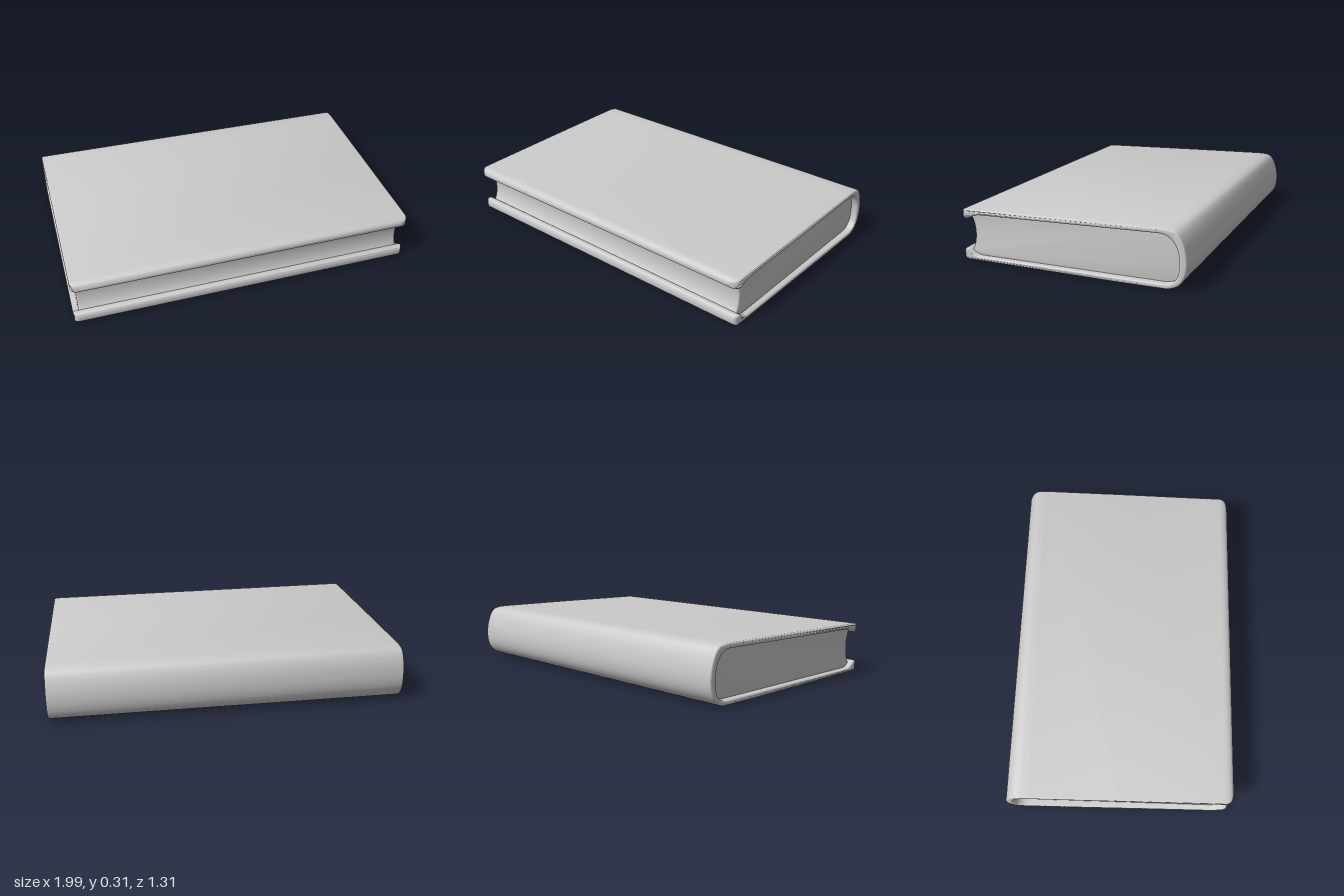
import * as THREE from 'three';
import { toCreasedNormals } from 'three/addons/utils/BufferGeometryUtils.js';

const BEVEL = 0.01;

// Extrude a side profile (u = -z, y) along x, centred, with softened ends
function extrudeAlongX(shape, halfWidth, shape3d) {
  const geo = new THREE.ExtrudeGeometry(shape, {
    depth: 2 * (halfWidth - BEVEL), curveSegments: 16,
    bevelEnabled: true, bevelSize: BEVEL, bevelThickness: BEVEL, bevelOffset: -BEVEL, bevelSegments: 3,
  });
  geo.translate(0, 0, -(halfWidth - BEVEL));
  geo.rotateY(Math.PI / 2);
  const p = geo.attributes.position;
  const v = new THREE.Vector3();
  for (let i = 0; i < p.count; i++) {
    shape3d(v.fromBufferAttribute(p, i));
    p.setXYZ(i, v.x, v.y, v.z);
  }
  return toCreasedNormals(geo, 0.7);
}

// Hardback case: bottom board, rounded spine and top board, with rolled front lips
function coverProfile() {
  const s = new THREE.Shape();
  s.moveTo(-0.61, 0.004);
  s.lineTo(0.3, 0);
  s.lineTo(0.55, 0.002);
  s.bezierCurveTo(0.615, 0.01, 0.655, 0.055, 0.655, 0.14);
  s.bezierCurveTo(0.655, 0.21, 0.625, 0.29, 0.59, 0.303);
  s.bezierCurveTo(0.57, 0.311, 0.54, 0.312, 0.51, 0.312);
  s.lineTo(0, 0.302);
  s.lineTo(-0.59, 0.288);
  s.bezierCurveTo(-0.63, 0.287, -0.65, 0.278, -0.65, 0.258);
  s.bezierCurveTo(-0.65, 0.233, -0.625, 0.228, -0.6, 0.236);
  s.bezierCurveTo(-0.58, 0.24, -0.57, 0.255, -0.53, 0.259);
  s.lineTo(0.5, 0.283);
  s.bezierCurveTo(0.58, 0.286, 0.615, 0.22, 0.615, 0.14);
  s.bezierCurveTo(0.615, 0.07, 0.6, 0.03, 0.53, 0.028);
  s.lineTo(-0.53, 0.028);
  s.bezierCurveTo(-0.57, 0.032, -0.58, 0.055, -0.6, 0.064);
  s.bezierCurveTo(-0.625, 0.072, -0.64, 0.06, -0.638, 0.035);
  s.bezierCurveTo(-0.638, 0.015, -0.63, 0.005, -0.61, 0.004);
  return s;
}

// Page block: hollowed fore-edge, rounded back tucked into the spine
function pagesProfile() {
  const s = new THREE.Shape();
  s.moveTo(-0.605, 0.045);
  s.lineTo(-0.53, 0.016);
  s.lineTo(0.53, 0.016);
  s.bezierCurveTo(0.61, 0.018, 0.63, 0.07, 0.63, 0.14);
  s.bezierCurveTo(0.63, 0.22, 0.59, 0.296, 0.5, 0.294);
  s.lineTo(-0.53, 0.271);
  s.lineTo(-0.605, 0.252);
  s.bezierCurveTo(-0.557, 0.225, -0.557, 0.075, -0.605, 0.045);
  return s;
}

export function createModel() {
  const book = new THREE.Group();
  book.name = 'book';
  const material = new THREE.MeshStandardMaterial({ color: 0xcccccc, side: THREE.DoubleSide });

  const cover = new THREE.Mesh(extrudeAlongX(coverProfile(), 0.995, (v) => {
    // Round the two free corners of each board and narrow it slightly toward the front
    const r = 0.045;
    const t = THREE.MathUtils.clamp((v.z - (0.645 - r)) / r, 0, 1);
    v.x -= Math.sign(v.x) * (r * (1 - Math.sqrt(1 - t * t)) + 0.007 * (v.z + 0.65));
    // Front edge is a little out of square
    if (v.z > 0.45) v.z -= 0.009 * v.x;
  }), material);
  cover.name = 'cover';

  const pages = new THREE.Mesh(extrudeAlongX(pagesProfile(), 0.955, (v) => {
    if (v.z > 0.45) v.z -= 0.005 * v.x;
  }), material);
  pages.name = 'pages';

  book.add(cover, pages);
  return book;
}
